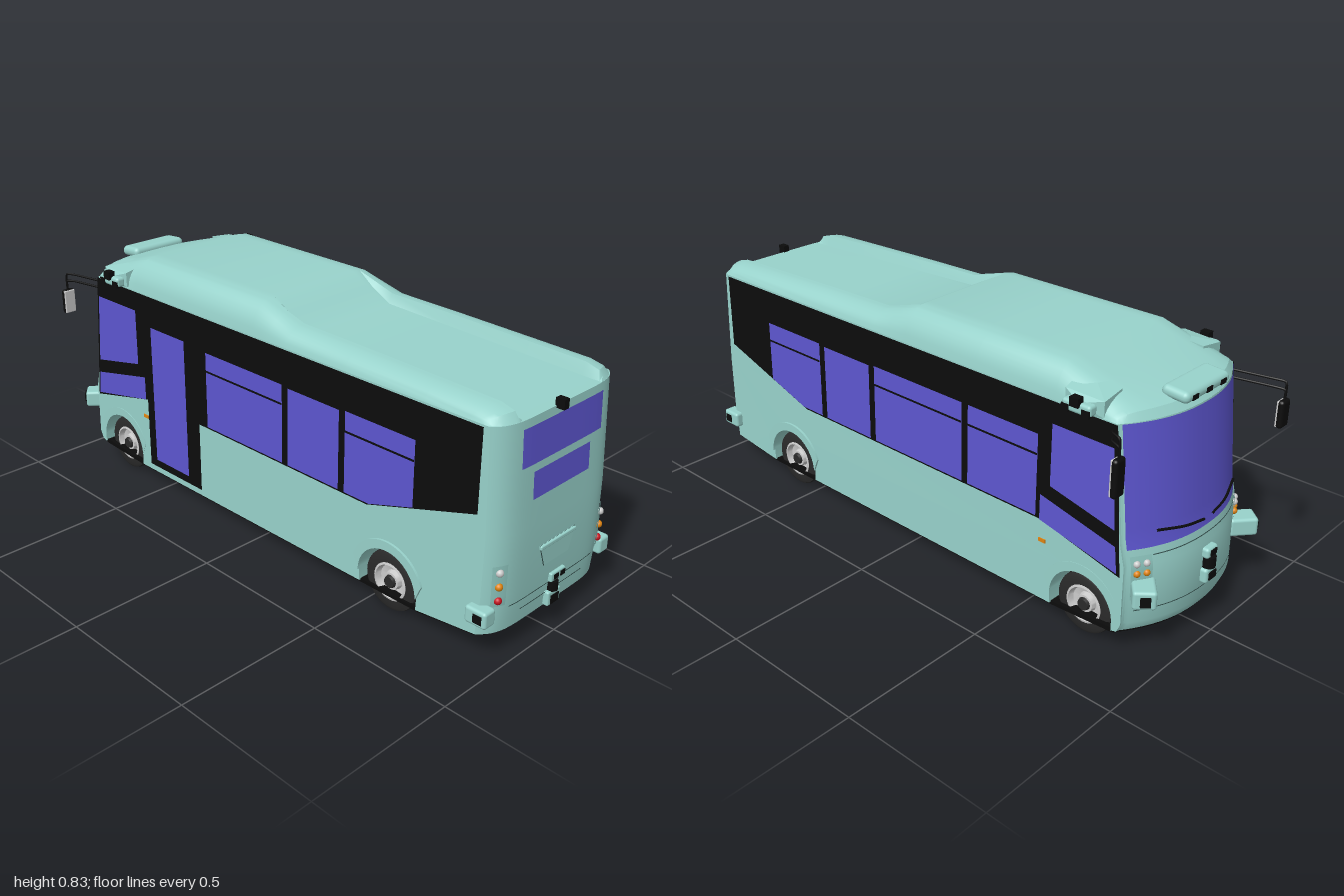
import * as THREE from 'three';
import { toCreasedNormals } from 'three/addons/utils/BufferGeometryUtils.js';
import { RoundedBoxGeometry } from 'three/addons/geometries/RoundedBoxGeometry.js';
import { ConvexGeometry } from 'three/addons/geometries/ConvexGeometry.js';

const mat = (color, side = THREE.FrontSide) => new THREE.MeshStandardMaterial({ color, side });

// piecewise linear lookup through [position, value] pairs
function lookup(table, t) {
  if (t <= table[0][0]) return table[0][1];
  for (let i = 1; i < table.length; i++) {
    const [a, va] = table[i - 1], [b, vb] = table[i];
    if (t <= b) return va + (vb - va) * (t - a) / (b - a);
  }
  return table[table.length - 1][1];
}

// body surface: half width, and the curved windscreen end (-z) and engine end (+z)
const halfWidth = (y, z) => 0.286 - 0.005 * z - 0.01 * (y - 0.3);
const noseBend = x => 0.09 * Math.pow(Math.min(1, Math.abs(x) / 0.284), 2.3);
const tailBend = x => 0.05 * Math.pow(Math.min(1, Math.abs(x) / 0.284), 7);
const noseLine = [[0.08, -0.95], [0.11, -0.963], [0.3, -0.96], [0.37, -0.942], [0.73, -0.905]];
const tailLine = [[0.085, 0.97], [0.2, 0.98], [0.4, 0.98], [0.73, 0.965]];
const noseZ = (x, y) => lookup(noseLine, y) + noseBend(x);
const tailZ = (x, y) => lookup(tailLine, y) - tailBend(x);

export function createModel() {
  const bus = new THREE.Group();
  const teal = mat(0x98d2cb), black = mat(0x0c0c0c), thinBlack = mat(0x0c0c0c, THREE.DoubleSide);
  const glass = mat(0x5d56d0, THREE.DoubleSide), panel = mat(0x8cc4bd, THREE.DoubleSide);
  const rubber = mat(0x2a2a2a), steel = mat(0xcccccc), line = mat(0x35504d, THREE.DoubleSide);
  const white = mat(0xc8c8c8), orange = mat(0xe08410), red = mat(0xc81420), blue = mat(0x3f8fc0);

  const add = (name, geo, material, x = 0, y = 0, z = 0) => {
    const m = new THREE.Mesh(geo, material);
    m.name = name;
    m.position.set(x, y, z);
    bus.add(m);
    return m;
  };
  const box = (name, m, w, h, d, x, y, z) => add(name, new THREE.BoxGeometry(w, h, d), m, x, y, z);
  const rbox = (name, m, w, h, d, x, y, z, r = 0.01) => add(name, new RoundedBoxGeometry(w, h, d, 3, r), m, x, y, z);
  const shapeOf = pts => new THREE.Shape(pts.map(p => new THREE.Vector2(...p)));

  // side profile swept across the width, then bent at both ends
  function sweep(name, shape, material, inset = 0) {
    const geo = new THREE.ExtrudeGeometry(shape, { depth: 2, steps: 32, bevelEnabled: false, curveSegments: 20 });
    const p = geo.attributes.position;
    for (let i = 0; i < p.count; i++) {
      let z = p.getX(i);
      const y = p.getY(i), t = 1 - p.getZ(i);
      const x = Math.sin(t * Math.PI / 2) * (halfWidth(y, z) - inset);
      if (z < -0.88) z += noseBend(x);
      if (z > 0.9) z -= tailBend(x);
      p.setXYZ(i, x, y, z);
    }
    return add(name, toCreasedNormals(geo, 0.6), material);
  }

  // lower body with wheel arches
  const axles = [-0.725, 0.59];
  const hull = new THREE.Shape();
  hull.moveTo(-0.95, 0.08);
  hull.lineTo(-0.84, 0.075);
  axles.forEach(z => {
    hull.absarc(z, 0.1, 0.115, Math.PI, 0, true);
    hull.lineTo(z + 0.113, 0.06);
    if (z < 0) hull.lineTo(0.477, 0.06);
  });
  tailLine.forEach(([y, z]) => hull.lineTo(z, y));
  [...noseLine].reverse().slice(0, -1).forEach(([y, z]) => hull.lineTo(z, y));
  sweep('body', hull, teal);
  sweep('floor', shapeOf([[-0.945, 0.072], [-0.84, 0.065], [-0.61, 0.052], [0.71, 0.052], [0.96, 0.078],
    [0.96, 0.09], [0.71, 0.064], [-0.61, 0.064], [-0.84, 0.08], [-0.945, 0.09]]), black, 0.006);

  // roof: height field with a front hump, two rear rails and a recess between them
  const crown = [[-0.905, 0.73], [-0.885, 0.755], [-0.84, 0.77], [-0.6, 0.835], [0, 0.835], [0.15, 0.79],
    [0.4, 0.785], [0.9, 0.77], [0.945, 0.757], [0.965, 0.73]];
  const recess = [[0, 0.835], [0.15, 0.757], [0.93, 0.73], [0.965, 0.73]];
  const shoulder = [[0.19, 1], [0.225, 0.94], [0.25, 0.78], [0.267, 0.55], [0.277, 0.3], [0.282, 0]];
  const half = [0.06, 0.12, 0.17, 0.185, 0.2, 0.212, 0.225, 0.238, 0.25, 0.26, 0.268, 0.274, 0.278, 0.282];
  const xs = [...half.map(x => -x).reverse(), 0, ...half];
  const rows = [-0.905, -0.895, -0.885, -0.865, -0.84, -0.72, -0.6, -0.3, 0, 0.075, 0.15, 0.4, 0.7, 0.9, 0.93, 0.945, 0.957, 0.965];
  const roof = new THREE.PlaneGeometry(1, 1, xs.length - 1, rows.length - 1);
  rows.forEach((row, j) => xs.forEach((x, i) => {
    const inside = Math.abs(x) < 0.195 && row >= 0;
    const y = inside ? lookup(recess, row) : 0.73 + (lookup(crown, row) - 0.73) * lookup(shoulder, Math.abs(x));
    const z = row + noseBend(x) * Math.max(0, (-0.6 - row) / 0.305) - (row > 0.85 ? tailBend(x) : 0);
    roof.attributes.position.setXYZ(j * xs.length + i, x * halfWidth(0.73, row) / 0.282, y, z);
  }));
  add('roof', toCreasedNormals(roof, 0.5), mat(0x98d2cb, THREE.DoubleSide));

  // flat panel laid on a body side, points are [z, y]
  function sidePanel(name, material, side, pts, off) {
    const geo = new THREE.ShapeGeometry(shapeOf(pts));
    const p = geo.attributes.position;
    for (let i = 0; i < p.count; i++) {
      const z = p.getX(i), y = p.getY(i);
      p.setXYZ(i, side * (halfWidth(y, z) + off), y, z);
    }
    geo.computeVertexNormals();
    add(name, geo, material);
  }
  const rect = (a, b, y0, y1) => [[a, y0], [b, y0], [b, y1], [a, y1]];

  // panel curved onto the nose or tail; bottom edge may be narrower
  function endPanel(name, material, surf, x0, x1, y0, y1, off, taper = 1) {
    const geo = new THREE.PlaneGeometry(1, 1, 24, 12);
    const p = geo.attributes.position;
    for (let i = 0; i < p.count; i++) {
      const v = p.getY(i) + 0.5, y = y0 + (y1 - y0) * v;
      const x = (x0 + (x1 - x0) * (p.getX(i) + 0.5)) * (taper + (1 - taper) * v);
      p.setXYZ(i, x, y, surf(x, y) + (surf === noseZ ? -off : off));
    }
    geo.computeVertexNormals();
    add(name, geo, material);
  }

  for (const s of [1, -1]) {
    // dark window band and side glass
    sidePanel('windowBand', thinBlack, s, [[0.905, 0.725], [0.905, 0.465], [0.5, 0.335], [-0.56, 0.335],
      [-0.86, 0.265], [-0.82, 0.728]], 0.003);
    sidePanel('quarterWindow', glass, s, [[-0.6, 0.66], [-0.815, 0.66], [-0.835, 0.41], [-0.6, 0.46]], 0.006);
    sidePanel('lowerQuarterWindow', glass, s, [[-0.565, 0.42], [-0.84, 0.36], [-0.85, 0.275], [-0.565, 0.335]], 0.006);
    sidePanel('rearSideWindow', glass, s, [[0.68, 0.61], [0.68, 0.397], [0.51, 0.342], [0.41, 0.342], [0.41, 0.61]], 0.006);
    sidePanel('sideWindow', glass, s, rect(0.165, 0.385, 0.342, 0.605), 0.006);
    sidePanel('sideWindow', glass, s, rect(s > 0 ? -0.25 : -0.225, 0.14, 0.342, 0.61), 0.006);
    const bars = [[0.41, 0.68], [s > 0 ? -0.25 : -0.225, 0.14]];
    if (s > 0) {
      sidePanel('sideWindow', glass, s, rect(-0.55, -0.275, 0.342, 0.61), 0.006);
      bars.push([-0.55, -0.275]);
    } else {
      sidePanel('doorFrame', thinBlack, s, rect(-0.555, -0.27, 0.085, 0.62), 0.005);
      sidePanel('doorGlass', glass, s, rect(-0.515, -0.335, 0.115, 0.62), 0.008);
    }
    bars.forEach(([a, b]) => sidePanel('windowBar', thinBlack, s, rect(a, b, 0.542, 0.549), 0.008));
    box('sideMarker', orange, 0.006, 0.012, 0.025, s * 0.29, 0.265, -0.575);

    // wheels, wells and arch lips
    axles.forEach((z, axle) => {
      const well = add('wheelWell', new THREE.ExtrudeGeometry(new THREE.Shape().absarc(0, 0, 0.113, 0, Math.PI),
        { depth: 0.2, bevelEnabled: false }), black, s > 0 ? 0 : -0.2, 0.1, z);
      well.rotation.y = Math.PI / 2;
      const lip = new THREE.Shape().absarc(0, 0, 0.145, 0.35, Math.PI - 0.35);
      lip.absarc(0, 0, 0.115, Math.PI, 0, true);
      const arch = add('wheelArch', new THREE.ExtrudeGeometry(lip, { depth: 0.008, bevelEnabled: false, curveSegments: 20 }),
        teal, s * 0.284, 0.1, z);
      arch.rotation.y = s * Math.PI / 2;
      const tyre = (outer, w) => {
        const pts = [[0.06, -w], [0.088, -w], [0.097, -w * 0.85], [0.1, -w * 0.6], [0.1, w * 0.6],
          [0.097, w * 0.85], [0.088, w], [0.06, w], [0.06, -w]].map(q => new THREE.Vector2(...q));
        add('tyre', toCreasedNormals(new THREE.LatheGeometry(pts, 40), 0.6), rubber, s * (outer - w), 0.1, z).rotation.z = -s * Math.PI / 2;
      };
      tyre(0.272, axle ? 0.028 : 0.033);
      if (axle) tyre(0.212, 0.028);
      const rim = [[0, -0.03], [0.06, -0.03], [0.063, 0.001], [0.056, 0.003], [0.05, -0.016], [0.032, -0.02],
        [0.028, -0.004], [0, -0.002]].map(q => new THREE.Vector2(...q));
      add('rim', toCreasedNormals(new THREE.LatheGeometry(rim, 32), 0.5), steel, s * 0.272, 0.1, z).rotation.z = -s * Math.PI / 2;
      const cap = add('hubCap', new THREE.CylinderGeometry(0.018, 0.022, 0.012, 20), rubber, s * 0.272, 0.1, z);
      cap.rotation.z = -s * Math.PI / 2;
    });

    // tail lamps
    endPanel('tailLampPanel', panel, tailZ, s * 0.222, s * 0.264, 0.18, 0.312, 0.004);
    [[0.2, red], [0.245, orange], [0.29, white]].forEach(([y, m]) =>
      add('tailLamp', new THREE.SphereGeometry(0.012, 16, 10), m, s * 0.245, y, tailZ(0.245, y) + 0.003));

    // headlamps
    endPanel('headlampPanel', panel, noseZ, s * 0.215, s * 0.272, 0.19, 0.33, 0.004);
    [[0.21, blue], [0.242, blue], [0.275, orange], [0.306, white]].forEach(([y, m]) =>
      [0.23, 0.256].forEach(x => add('headlamp', new THREE.SphereGeometry(0.011, 12, 8), m, s * x, y, noseZ(x, y) - 0.002)));

    // corner sensor pods
    rbox('rearCornerPod', teal, 0.05, 0.055, 0.075, s * 0.283, 0.158, 0.935);
    box('rearCornerLens', black, 0.024, 0.028, 0.03, s * 0.298, 0.158, 0.945);
    const pod = rbox('frontCornerPod', teal, 0.09, 0.06, 0.07, s * 0.258, 0.225, -0.92);
    pod.rotation.y = s * 0.7;
    box('frontCornerLens', black, 0.03, 0.03, 0.03, s * 0.285, 0.225, -0.945).rotation.y = s * 0.7;

    // roof sensor pods
    const pts = [[0.17, 0.815, -0.63], [0.2, 0.79, -0.765], [0.29, 0.785, -0.64], [0.285, 0.78, -0.77], [0.31, 0.765, -0.7],
      [0.17, 0.74, -0.63], [0.2, 0.73, -0.765], [0.29, 0.735, -0.64], [0.285, 0.73, -0.77], [0.3, 0.73, -0.7]];
    add('roofPod', new ConvexGeometry(pts.map(([x, y, z]) => new THREE.Vector3(s * x, y, z))), teal);
    rbox('roofPodArm', teal, 0.035, 0.035, 0.1, s * 0.305, 0.752, -0.7);
    box('roofCamera', black, 0.025, 0.028, 0.03, s * 0.319, 0.772, -0.7);
    [-0.735, -0.665].forEach(z => box('roofCamera', black, 0.018, 0.022, 0.025, s * 0.316, 0.745, z));

    // mirrors on twin tube arms; the -x one reaches further forward
    const mx = s * 0.312, mz = s > 0 ? -0.845 : -0.985, my = s > 0 ? 0.59 : 0.605, mh = s > 0 ? 0.12 : 0.09;
    [0.685, 0.71].forEach(y => {
      const path = new THREE.CatmullRomCurve3([[0.27, y, -0.8], [0.3, y, mz + 0.035], [0.312, y - 0.005, mz], [0.312, my + 0.04, mz]]
        .map(([x, a, z]) => new THREE.Vector3(s * x, a, z)), false, 'catmullrom', 0.2);
      add('mirrorArm', new THREE.TubeGeometry(path, 24, 0.004, 8), black);
    });
    rbox('mirror', black, 0.046, mh, 0.022, mx, my, mz);
    rbox('mirrorGlass', steel, 0.042, mh - 0.006, 0.008, mx, my, mz + 0.009, 0.003);

    // wipers
    const wiper = [[0.02, 0.375], [0.1, 0.385], [0.2, 0.4]].map(([x, y]) => new THREE.Vector3(s * x, y, noseZ(x, y) - 0.01));
    add('wiper', new THREE.TubeGeometry(new THREE.CatmullRomCurve3(wiper), 12, 0.004, 6), black);
  }

  // windscreen and nose details
  endPanel('windscreen', glass, noseZ, -0.276, 0.276, 0.35, 0.728, 0.004);
  endPanel('bumperSeam', line, noseZ, -0.26, 0.26, 0.15, 0.153, 0.003);
  endPanel('noseSeam', line, noseZ, -0.21, 0.21, 0.325, 0.328, 0.003);
  rbox('noseSensorBase', teal, 0.06, 0.05, 0.03, 0, 0.19, -0.968);
  box('noseSensorLens', black, 0.035, 0.025, 0.008, 0, 0.19, -0.983);
  add('noseScanner', new THREE.CylinderGeometry(0.022, 0.022, 0.035, 24), black, 0, 0.232, -0.968);
  rbox('noseSensorTop', teal, 0.055, 0.035, 0.03, 0, 0.266, -0.966);
  box('noseSensorLens', black, 0.03, 0.018, 0.008, 0, 0.268, -0.98);

  // sensor pod above the windscreen
  const brow = rbox('browPod', teal, 0.22, 0.036, 0.09, 0, 0.772, -0.87, 0.017);
  brow.rotation.x = -0.08;
  [-0.07, 0, 0.07].forEach(x => box('browLens', black, 0.028, 0.015, 0.008, x, 0.768, -0.913));

  // tail: glass, hatch, seams and sensors
  endPanel('rearWindow', glass, tailZ, -0.187, 0.187, 0.59, 0.706, 0.003);
  endPanel('rearLowerWindow', glass, tailZ, -0.135, 0.132, 0.481, 0.566, 0.003);
  endPanel('hatchOutline', line, tailZ, -0.087, 0.087, 0.24, 0.315, 0.002, 0.7);
  endPanel('hatch', teal, tailZ, -0.085, 0.085, 0.242, 0.313, 0.004, 0.7);
  rbox('hatchHandle', teal, 0.17, 0.014, 0.012, 0, 0.307, 0.983, 0.004);
  endPanel('tailSeam', line, tailZ, -0.205, 0.2, 0.166, 0.169, 0.003);
  endPanel('bumperOutline', line, tailZ, -0.152, 0.152, 0.133, 0.136, 0.003);
  rbox('tailSensor', teal, 0.062, 0.048, 0.022, 0, 0.112, 0.979, 0.006);
  box('tailSensorLens', black, 0.038, 0.028, 0.006, 0, 0.108, 0.99);
  add('tailScanner', new THREE.CylinderGeometry(0.019, 0.019, 0.03, 20), black, 0, 0.149, 0.978);
  rbox('tailSensorTop', teal, 0.07, 0.03, 0.016, 0.012, 0.182, 0.982, 0.005);
  [0, 0.032].forEach(x => box('tailSensorLens', black, 0.022, 0.016, 0.006, x, 0.182, 0.989));
  box('rearRoofCamera', black, 0.022, 0.03, 0.03, -0.03, 0.738, 0.975);
  return bus;
}
